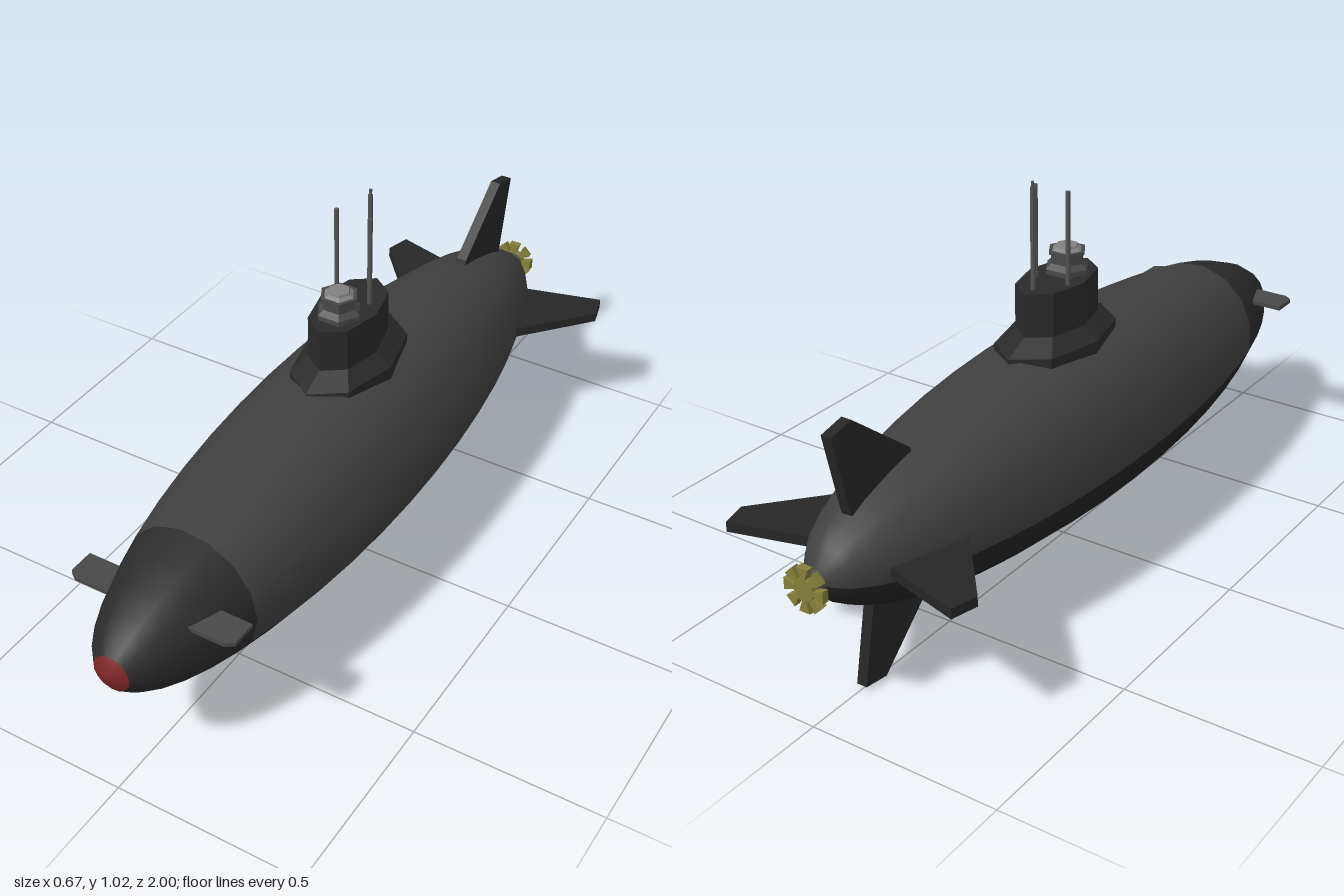
import * as THREE from 'three';

const AXIS_Y = 0.36;
const paint = (color, flat = false) =>
  new THREE.MeshStandardMaterial({ color, flatShading: flat });

export function createModel() {
  const model = new THREE.Group();
  const upperPaint = paint(0x404040);
  const lowerPaint = paint(0x222222);
  const nosePaint = paint(0x2b2b2b);
  const tipPaint = paint(0x7c2424);
  const finPaint = paint(0x262626, true);
  const towerPaint = paint(0x2a2a2a, true);
  const planePaint = paint(0x484848, true);
  const mastPaint = paint(0x555555);
  const hatchPaint = paint(0x808080, true);
  const brass = paint(0x85803a, true);

  const add = (name, geometry, material, x = 0, y = 0, z = 0) => {
    const mesh = new THREE.Mesh(geometry, material);
    mesh.name = name;
    mesh.position.set(x, y, z);
    model.add(mesh);
    return mesh;
  };

  // Hull: slices of a fifteen-sided ellipsoid lying along z
  const hullSlice = (name, z0, z1, rows, firstSide, sides, material) => {
    const a0 = Math.acos((z0 - 0.02) / 0.98);
    const a1 = Math.acos((z1 - 0.02) / 0.98);
    const profile = [];
    for (let i = 0; i <= rows; i++) {
      const a = THREE.MathUtils.lerp(a0, a1, i / rows);
      profile.push(new THREE.Vector2(Math.max(0, 0.245 * Math.sin(a)), 0.02 + 0.98 * Math.cos(a)));
    }
    const step = (Math.PI * 2) / 15;
    const geometry = new THREE.LatheGeometry(profile, sides, Math.PI / 2 + firstSide * step, sides * step);
    geometry.rotateX(Math.PI / 2);
    add(name, geometry, material, 0, AXIS_Y, 0);
  };
  hullSlice('upperHull', -0.96, 0.675, 16, -1, 9, upperPaint);
  hullSlice('lowerHull', -0.96, 0.675, 16, 8, 6, lowerPaint);
  hullSlice('nose', 0.675, 0.98, 5, 0, 15, nosePaint);
  hullSlice('noseTip', 0.98, 1, 2, 0, 15, tipPaint);

  // Flat plates cut from an outline, centred on their thickness
  const plate = (points, thickness) => {
    const shape = new THREE.Shape(points.map(([a, b]) => new THREE.Vector2(a, b)));
    const geometry = new THREE.ExtrudeGeometry(shape, { depth: thickness, bevelEnabled: false });
    return geometry.translate(0, 0, -thickness / 2);
  };
  const flatPlate = (points, t) => plate(points, t).rotateX(Math.PI / 2); // outline in x, z
  const uprightPlate = (points, t) => plate(points, t).rotateY(-Math.PI / 2); // outline in z, y

  // Side fins and bow planes, mirrored
  const sternFin = [[0.06, -0.82], [0.115, -0.845], [0.318, -0.9], [0.336, -0.83], [0.178, -0.645], [0.08, -0.63]];
  const bowPlane = [[0.09, 0.755], [0.225, 0.755], [0.225, 0.822], [0.205, 0.837], [0.09, 0.837]];
  for (const [side, s] of [['left', 1], ['right', -1]]) {
    const mirror = (points) => points.map(([x, z]) => [s * x, z]);
    add(side + 'SternFin', flatPlate(mirror(sternFin), 0.026), finPaint, 0, 0.363, 0);
    add(side + 'BowPlane', flatPlate(mirror(bowPlane), 0.011), planePaint, 0, 0.43, 0);
  }

  // Rudders above and below the tail
  add('upperRudder', uprightPlate(
    [[-0.62, 0.5], [-0.64, 0.55], [-0.83, 0.7], [-0.898, 0.685], [-0.85, 0.48], [-0.82, 0.42]], 0.028), finPaint);
  add('lowerRudder', uprightPlate(
    [[-0.58, 0.21], [-0.585, 0.165], [-0.76, 0.004], [-0.832, 0.014], [-0.79, 0.23], [-0.76, 0.3]], 0.028), finPaint);

  // Tower: eight-sided skirt, sloped shoulder and tower body
  const octagon = (name, bottom, top, y0, y1, z) => {
    const geometry = new THREE.CylinderGeometry(1, 1, y1 - y0, 8);
    const p = geometry.attributes.position;
    for (let i = 0; i < p.count; i++) {
      const [w, l] = p.getY(i) > 0 ? top : bottom;
      p.setXYZ(i, p.getX(i) * w, p.getY(i), p.getZ(i) * l);
    }
    add(name, geometry, towerPaint, 0, (y0 + y1) / 2, z);
  };
  octagon('towerSkirt', [0.12, 0.205], [0.12, 0.205], 0.565, 0.604, -0.035);
  octagon('towerShoulder', [0.12, 0.205], [0.08, 0.142], 0.604, 0.637, -0.033);
  octagon('towerBody', [0.08, 0.14], [0.08, 0.14], 0.63, 0.75, -0.03);

  // Six-sided hatch turret
  const hexLathe = (points) => new THREE.LatheGeometry(
    points.map(([r, y]) => new THREE.Vector2(r, y)), 6, Math.PI / 2);
  add('hatchTurret', hexLathe([[0.058, 0.745], [0.058, 0.763], [0.044, 0.776], [0.044, 0.797],
    [0.05, 0.8], [0.05, 0.808], [0, 0.808]]), planePaint, 0, 0, 0.015);
  add('hatchLid', hexLathe([[0.042, 0.807], [0.03, 0.814], [0.028, 0.82], [0, 0.82]]), hatchPaint, 0, 0, 0.015);

  // Masts and periscope
  const rod = (name, r, y0, y1, x, z) =>
    add(name, new THREE.CylinderGeometry(r, r, y1 - y0, 8), mastPaint, x, (y0 + y1) / 2, z);
  rod('rightMast', 0.006, 0.74, 0.99, -0.054, -0.063);
  rod('leftMast', 0.006, 0.74, 0.99, 0.04, -0.063);
  rod('periscope', 0.0065, 0.74, 1.01, 0, -0.132);
  rod('periscopeTip', 0.004, 1.01, 1.025, 0, -0.132);

  // Propeller shaft and eight flared blades
  const shaft = new THREE.CylinderGeometry(0.027, 0.027, 0.045, 12).rotateX(Math.PI / 2);
  add('propellerShaft', shaft, mastPaint, 0, AXIS_Y, -0.963);
  const blades = [];
  for (let i = 0; i < 8; i++) {
    for (const [offset, r] of [[-0.2, 0.028], [-0.27, 0.057], [0.27, 0.057], [0.2, 0.028]]) {
      const a = (i * Math.PI) / 4 + offset;
      blades.push([r * Math.cos(a), r * Math.sin(a)]);
    }
  }
  add('propeller', plate(blades, 0.018), brass, 0, AXIS_Y, -0.991);

  return model;
}
